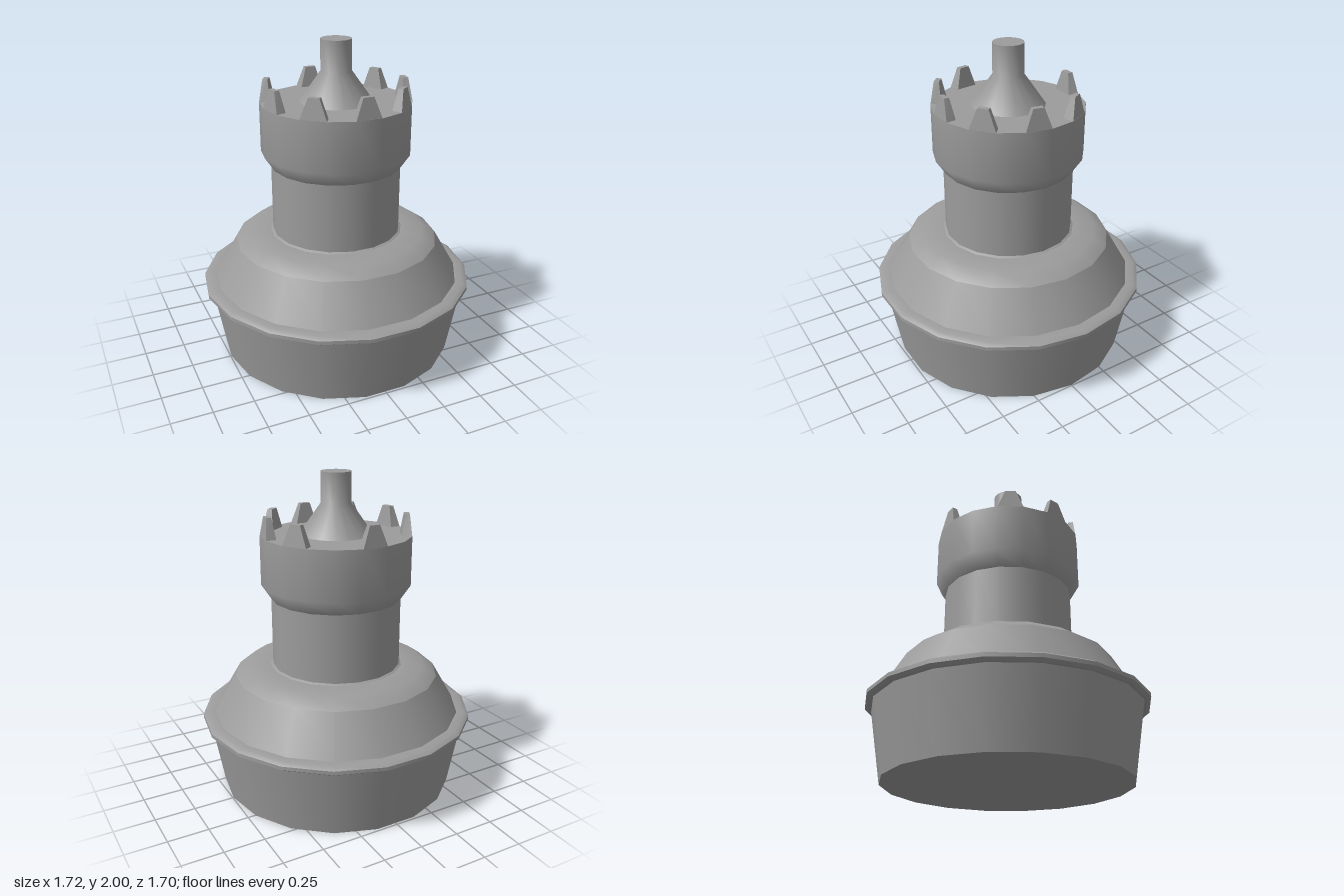
import * as THREE from 'three';

const SIDES = 18;
const material = new THREE.MeshStandardMaterial({ color: 0x9c9c9c });

// Turned part: each strip is smooth inside, with a sharp edge between strips.
function turned(name, strips) {
  const group = new THREE.Group();
  group.name = name;
  strips.forEach((strip, i) => {
    const points = strip.map(([r, y]) => new THREE.Vector2(r, y));
    const mesh = new THREE.Mesh(new THREE.LatheGeometry(points, SIDES, Math.PI / 2), material);
    mesh.name = `${name}Surface${i + 1}`;
    group.add(mesh);
  });
  return group;
}

// Tapered battlement block, outer face towards +z.
function merlonGeometry() {
  const geo = new THREE.BoxGeometry(1, 1, 1);
  const p = geo.attributes.position;
  for (let i = 0; i < p.count; i++) {
    const top = p.getY(i) > 0, outer = p.getZ(i) > 0;
    const half = top ? 0.033 : outer ? 0.08 : 0.07;
    const z = top ? (outer ? 0.443 : 0.411) : (outer ? 0.457 : 0.393);
    p.setXYZ(i, Math.sign(p.getX(i)) * half, top ? 1.75 : 1.625, z);
  }
  geo.computeVertexNormals();
  return geo;
}

export function createModel() {
  const model = new THREE.Group();
  model.name = 'rookPiece';

  // Flared base with closed underside
  model.add(turned('base', [
    [[0, 0], [0.745, 0]],
    [[0.745, 0], [0.823, 0.44]],
  ]));

  // Protruding rim
  model.add(turned('rim', [
    [[0.823, 0.44], [0.84, 0.44]],
    [[0.84, 0.44], [0.862, 0.455]],
    [[0.862, 0.455], [0.862, 0.478]],
    [[0.862, 0.478], [0.835, 0.495], [0.785, 0.495]],
  ]));

  // Sloping shoulder with a softly rounded top
  model.add(turned('shoulder', [
    [[0.785, 0.495], [0.645, 0.735]],
    [[0.645, 0.735], [0.557, 0.795], [0.42, 0.795]],
  ]));

  // Straight column
  model.add(turned('column', [
    [[0.42, 0.795], [0.405, 0.803]],
    [[0.405, 0.803], [0.405, 1.23]],
  ]));

  // Tower head, flaring out from the column
  model.add(turned('head', [
    [[0.405, 1.23], [0.465, 1.32], [0.465, 1.625]],
    [[0.465, 1.625], [0, 1.625]],
  ]));

  // Cone and stem on top
  model.add(turned('finial', [
    [[0.225, 1.625], [0.094, 1.81], [0.094, 2]],
    [[0.094, 2], [0, 2]],
  ]));

  // Battlements, one per chosen facet of the head
  const geo = merlonGeometry();
  for (const degrees of [0, 40, 80, 120, 180, 240, 280, 320]) {
    const merlon = new THREE.Mesh(geo, material);
    merlon.name = 'merlon';
    merlon.rotation.y = THREE.MathUtils.degToRad(degrees);
    model.add(merlon);
  }
  return model;
}
